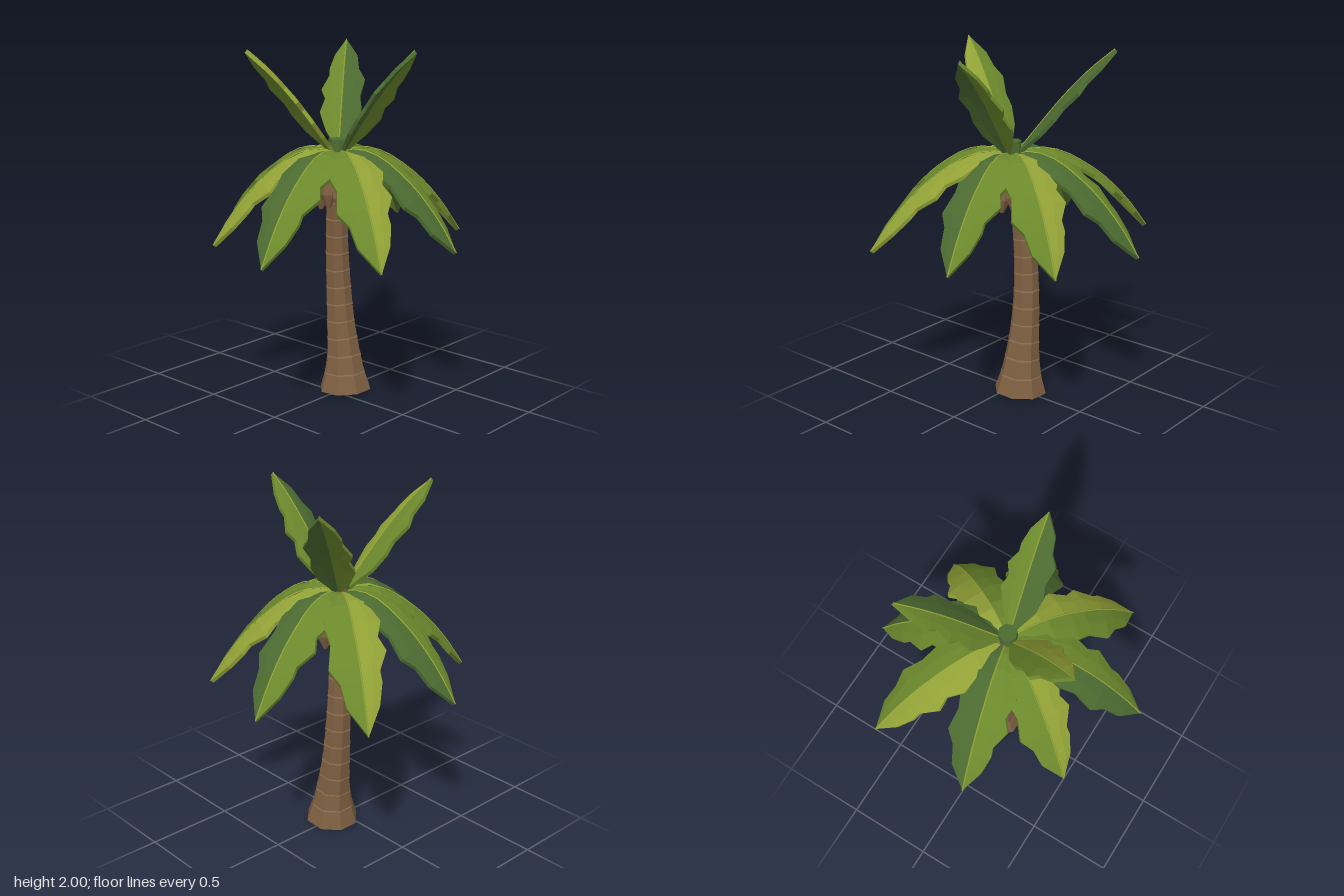
import * as THREE from 'three';

const mat = (color) => new THREE.MeshStandardMaterial({ color, flatShading: true, side: THREE.DoubleSide });
const MATS = {
  bark: mat(0x7d5f41), band: mat(0x8a6a4a), husk: mat(0x8a6449),
  deep: mat(0x4b6a30), mid: mat(0x6b882c), lime: mat(0x92a236),
};
const V = (x, y, z) => new THREE.Vector3(x, y, z);

// Joins equal-length rows of points into a surface
function skin(rows) {
  const n = rows[0].length, index = [];
  for (let i = 0; i < rows.length - 1; i++) {
    for (let j = 0; j < n - 1; j++) {
      const a = i * n + j, b = a + 1, c = a + n, d = c + 1;
      index.push(a, c, b, b, c, d);
    }
  }
  const geo = new THREE.BufferGeometry().setFromPoints(rows.flat());
  geo.setIndex(index);
  geo.computeVertexNormals();
  return geo;
}

function add(parent, name, geo, material) {
  const mesh = new THREE.Mesh(geo, material);
  mesh.name = name;
  parent.add(mesh);
  return mesh;
}

// Trunk centre line, and radius by height
const trunkLine = new THREE.CatmullRomCurve3([
  V(0.075, 0.01, 0.01), V(0.077, 0.2, -0.003), V(0.077, 0.4, -0.028), V(0.075, 0.6, -0.042),
  V(0.066, 0.8, -0.046), V(0.053, 1.0, -0.038), V(0.033, 1.2, -0.022), V(0.01, 1.43, 0.005),
]);
const trunkRadius = (y) => 0.054 + 0.034 * (1 - y / 1.43) + 0.07 * Math.exp(-y / 0.17);

// Octagonal ring across the trunk at curve position t
function trunkRing(t, grow = 0) {
  const c = trunkLine.getPointAt(t), d = trunkLine.getTangentAt(t);
  const r = trunkRadius(c.y) + grow;
  return Array.from({ length: 9 }, (_, k) => {
    const a = -(k + 0.5) * Math.PI / 4;
    const x = r * Math.cos(a), z = r * Math.sin(a);
    return V(c.x + x, c.y - (d.x * x + d.z * z) / d.y, c.z + z);
  });
}

function makeTrunk() {
  const group = new THREE.Group();
  group.name = 'trunk';
  const rows = [trunkRing(0).map(() => trunkLine.getPointAt(0))];
  for (let i = 0; i <= 14; i++) rows.push(trunkRing(i / 14));
  add(group, 'trunkBark', skin(rows), MATS.bark);
  // Slight growth rings
  for (let i = 1; i < 14; i++) {
    const t = i / 14;
    add(group, 'barkRing', skin([trunkRing(t - 0.006), trunkRing(t, 0.0025), trunkRing(t + 0.006)]), MATS.band);
  }
  return group;
}

// Pointed husk cluster under the crown
function makeHusks() {
  const group = new THREE.Group();
  group.name = 'huskCluster';
  const count = 9;
  const sizes = [0.01, 0.05, 0.054, 0.012], heights = [-0.115, -0.035, 0.04, 0.115];
  for (let k = 0; k < count; k++) {
    const husk = new THREE.CylinderGeometry(1, 1, 1, 6, 3);
    const p = husk.attributes.position;
    for (let i = 0; i < p.count; i++) {
      const level = Math.round((p.getY(i) + 0.5) * 3);
      p.setXYZ(i, p.getX(i) * sizes[level], heights[level], p.getZ(i) * sizes[level]);
    }
    const mesh = add(group, 'husk', husk, MATS.husk);
    const a = k / count * Math.PI * 2;
    mesh.position.set(0.097 * Math.sin(a), k % 2 ? 0.008 : -0.008, 0.097 * Math.cos(a));
    mesh.rotation.y = a;
  }
  group.position.set(0.015, 1.22, 0.003);
  return group;
}

// Jagged outlines of the two leaf halves: [position along the rib, half width]
const LEFT = [[0, 0.02], [0.08, 0.05], [0.18, 0.105], [0.335, 0.158], [0.445, 0.125],
  [0.53, 0.158], [0.65, 0.105], [0.715, 0.108], [0.845, 0.078], [1, 0]];
const RIGHT = [[0, 0.02], [0.1, 0.06], [0.22, 0.12], [0.37, 0.145], [0.475, 0.13],
  [0.625, 0.158], [0.715, 0.11], [0.845, 0.092], [1, 0]];
// Leaf ribs: [distance from the hub, height]
const DROOPING = [[0.02, 1.42], [0.14, 1.44], [0.27, 1.41], [0.41, 1.325], [0.52, 1.235], [0.65, 1.09], [0.76, 0.93]];
const UPRIGHT = [[0.02, 1.42], [0.1, 1.53], [0.25, 1.735], [0.38, 1.885], [0.5, 1.995]];
const THICKNESS = 0.02;

// A folded, solid leaf running along +x, with a colour for each half
function makeLeaf(name, profile, reach, widthScale, leftMat, rightMat) {
  const group = new THREE.Group();
  group.name = name;
  const stretch = reach / profile.at(-1)[0];
  const line = new THREE.CatmullRomCurve3(profile.map(([r, y]) => V(r * stretch, y, 0)));
  for (const side of [-1, 1]) {
    const rows = (side < 0 ? LEFT : RIGHT).map(([t, half]) => {
      const c = line.getPointAt(t), d = line.getTangentAt(t);
      const w = half * widthScale;
      const point = (f, drop) => V(c.x + d.y * drop, c.y - d.x * drop, side * w * f);
      const top = [[0, 0], [0.55, 0.08 * w], [1, 0.22 * w]];
      const row = [...top.map(([f, drop]) => point(f, drop)),
        ...top.reverse().map(([f, drop]) => point(f, drop + THICKNESS))];
      return side > 0 ? row.reverse() : row;
    });
    add(group, 'leafHalf', skin(rows), side < 0 ? leftMat : rightMat);
  }
  // Slender midrib
  add(group, 'midrib', new THREE.TubeGeometry(line, 12, 0.004, 4), MATS.lime);
  return group;
}

export function createModel() {
  const palm = new THREE.Group();
  palm.name = 'palmTree';
  palm.add(makeTrunk(), makeHusks());

  // Crown hub
  const hub = add(palm, 'crownHub', new THREE.CylinderGeometry(0.052, 0.058, 0.12, 8), MATS.deep);
  hub.position.set(0.01, 1.43, 0.01);

  // Leaves placed by the ground position of their tips
  const place = (name, profile, tips, width, isDeep) => tips.forEach(([x, z], i) => {
    const dx = x - 0.01, dz = z - 0.01;
    const deep = isDeep(i);
    const leaf = makeLeaf(name, profile, Math.hypot(dx, dz), width,
      deep ? MATS.mid : MATS.lime, deep ? MATS.deep : MATS.mid);
    leaf.position.set(0.01, 0, 0.01);
    leaf.rotation.y = Math.atan2(-dz, dx);
    palm.add(leaf);
  });
  place('droopingLeaf', DROOPING, [[-0.15, -0.72], [0.45, -0.68], [0.755, -0.155], [0.625, 0.4],
    [0.17, 0.715], [-0.42, 0.69], [-0.76, 0.18], [-0.59, -0.37]], 1, (i) => i % 2 === 0);
  place('uprightLeaf', UPRIGHT, [[0.45, -0.32], [-0.48, -0.19], [0.07, 0.49]], 0.78, (i) => i !== 1);
  return palm;
}
